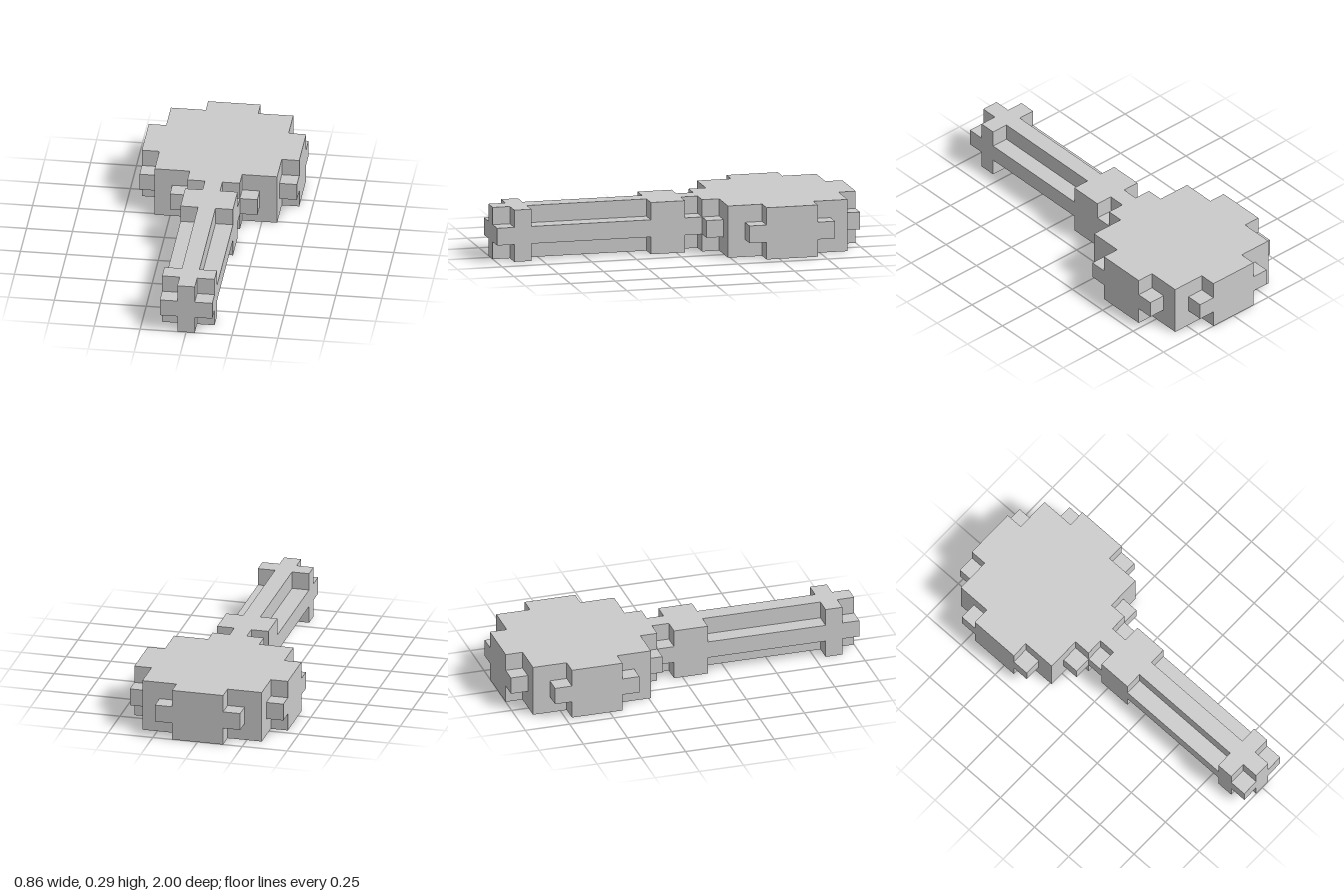
import * as THREE from 'three';

const U = 2 / 21; // one block

// Flat slab, one block thick, whose stepped outline is mirrored in x.
// rows: [width in blocks, number of rows], running from back to front.
function steppedSlab(rows, startRow, layer) {
  const right = [];
  let z = -1 + startRow * U;
  for (const [width, count] of rows) {
    const x = width * U / 2;
    right.push(new THREE.Vector2(x, z));
    z += count * U;
    right.push(new THREE.Vector2(x, z));
  }
  const left = right.map(p => new THREE.Vector2(-p.x, p.y)).reverse();
  const geo = new THREE.ExtrudeGeometry(new THREE.Shape([...right, ...left]), { depth: U, bevelEnabled: false });
  geo.rotateX(Math.PI / 2); // outline into the ground plane, depth downwards
  geo.translate(0, (layer + 1) * U, 0);
  return geo;
}

export function createModel() {
  const model = new THREE.Group();
  model.name = 'rattle';
  const material = new THREE.MeshStandardMaterial({ color: 0xcccccc, flatShading: true });

  // Each part has a middle layer and identical top and bottom layers
  const parts = [
    {
      name: 'head', startRow: 0,
      outer: [[3, 1], [7, 2], [9, 3], [7, 2], [3, 1]],
      middle: [[5, 1], [7, 1], [9, 5], [7, 1], [5, 1]],
    },
    {
      // narrow neck, collar, grooved grip, pommel and end knob
      name: 'handle', startRow: 9,
      outer: [[1, 1], [3, 2], [1, 7], [3, 1], [1, 1]],
      middle: [[3, 12]],
    },
  ];

  for (const part of parts) {
    const group = new THREE.Group();
    group.name = part.name;
    ['Bottom', 'Middle', 'Top'].forEach((label, layer) => {
      const rows = layer === 1 ? part.middle : part.outer;
      const mesh = new THREE.Mesh(steppedSlab(rows, part.startRow, layer), material);
      mesh.name = part.name + label;
      group.add(mesh);
    });
    model.add(group);
  }
  return model;
}
